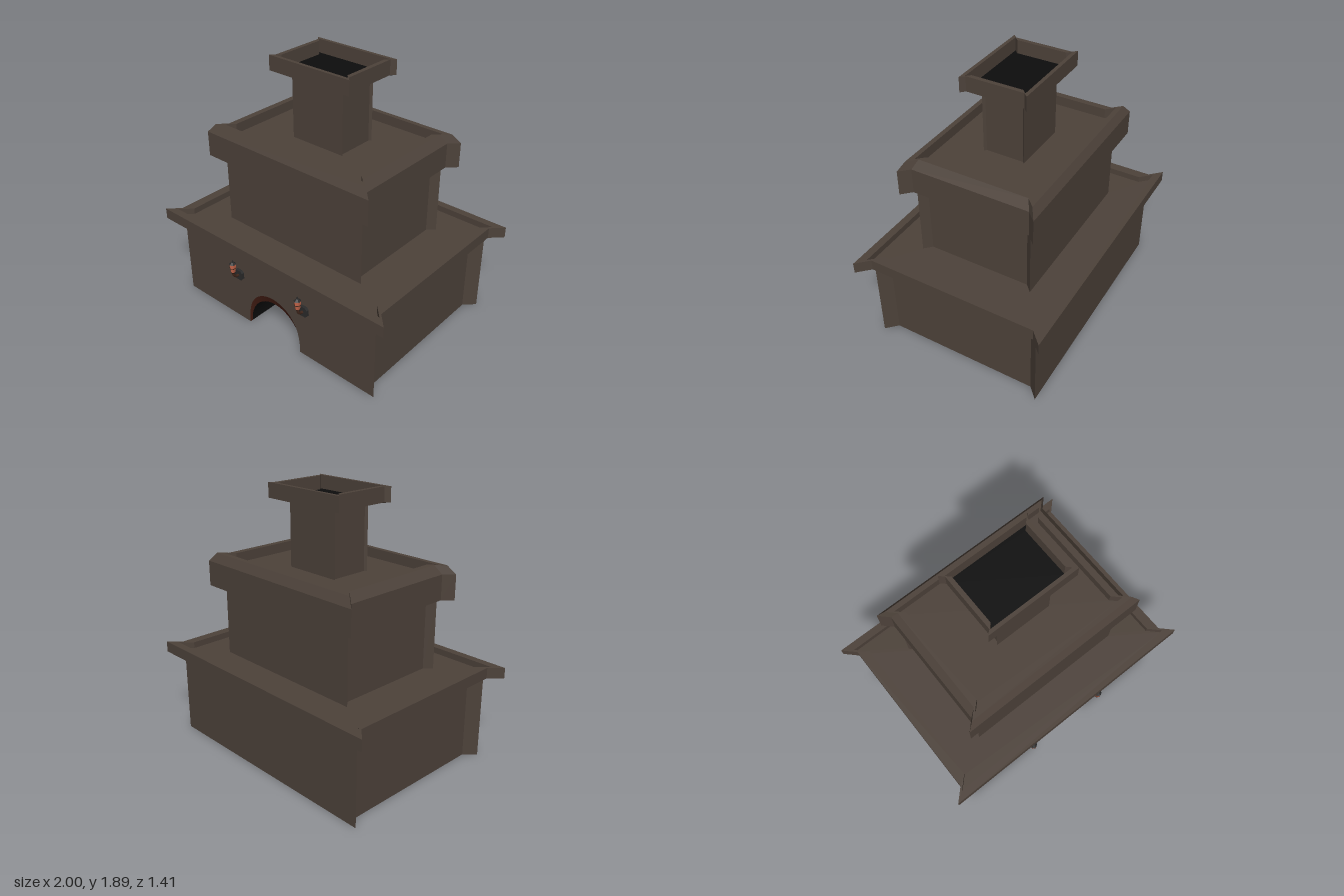
import * as THREE from 'three';

const mat = (color, side = THREE.FrontSide) => {
  const m = new THREE.MeshStandardMaterial({ side, flatShading: true });
  m.color.set(color);
  return m;
};
const stone = mat(0x4d423a);
const soot = mat(0x0d0d0d, THREE.DoubleSide);
const brick = mat(0x451e14, THREE.DoubleSide);
const iron = mat(0x2b2b2b);
const bronze = mat(0x40271c);
const glow = mat(0xc4654a);

function mesh(name, geometry, material, parent, x = 0, y = 0, z = 0) {
  const m = new THREE.Mesh(geometry, material);
  m.name = name;
  m.position.set(x, y, z);
  parent.add(m);
  return m;
}

// Plan of a layer: front and back reach a, mitred corners step the sides in by d
function plan(a, b, d) {
  const s = a - d, t = b - d;
  return [[a, b], [s, t], [s, -t], [a, -b], [-a, -b], [-s, -t], [-s, t], [-a, b]];
}

// Skin a series of plans [a, b, d, y]; optional end caps and one open side
function loft(rings, { bottom = true, top = true, skip = -1 } = {}) {
  const pos = [], index = [], n = 8;
  rings.forEach(([a, b, d, y]) => plan(a, b, d).forEach(([x, z]) => pos.push(x, y, z)));
  for (let r = 0; r < rings.length - 1; r++) {
    for (let i = 0; i < n; i++) {
      if (i === skip) continue;
      const j = (i + 1) % n, p = r * n, q = p + n;
      index.push(p + i, p + j, q + j, p + i, q + j, q + i);
    }
  }
  const cap = (r, up) => {
    const [a, b, d] = rings[r];
    const contour = plan(a, b, d).map(([x, z]) => new THREE.Vector2(x, -z));
    for (const [i, j, k] of THREE.ShapeUtils.triangulateShape(contour, [])) {
      const o = r * n;
      if (up) index.push(o + i, o + j, o + k);
      else index.push(o + i, o + k, o + j);
    }
  };
  if (bottom) cap(0, false);
  if (top) cap(rings.length - 1, true);
  const g = new THREE.BufferGeometry();
  g.setAttribute('position', new THREE.Float32BufferAttribute(pos, 3));
  g.setIndex(index);
  const flat = g.toNonIndexed();
  flat.computeVertexNormals();
  return flat;
}

// Arch from left foot to right foot
function arch(height, power) {
  const pts = [];
  for (let i = 0; i <= 24; i++) {
    const t = Math.PI * (1 - i / 24);
    pts.push([0.245 * Math.cos(t), height * Math.pow(Math.max(0, Math.sin(t)), power)]);
  }
  return pts;
}

// Band between two arches at different depths
function band(p, zp, q, zq) {
  const pos = [], index = [];
  p.forEach(([x, y], i) => {
    pos.push(x, y, zp, q[i][0], q[i][1], zq);
    if (i) index.push(2 * i - 2, 2 * i - 1, 2 * i + 1, 2 * i - 2, 2 * i + 1, 2 * i);
  });
  const g = new THREE.BufferGeometry();
  g.setAttribute('position', new THREE.Float32BufferAttribute(pos, 3));
  g.setIndex(index);
  g.computeVertexNormals();
  return g;
}

const flatShape = pts => new THREE.ShapeGeometry(
  new THREE.Shape(pts.map(([x, y]) => new THREE.Vector2(x, y))));

function lantern(x) {
  const g = new THREE.Group();
  g.name = 'wallLantern';
  g.position.set(x, 0, 0.62);
  // Chamfered wall plate
  const w = 0.038, c = 0.015;
  const plate = new THREE.Shape([
    [w, c - w], [w, w - c], [w - c, w], [c - w, w],
    [-w, w - c], [-w, c - w], [c - w, -w], [w - c, -w],
  ].map(([px, py]) => new THREE.Vector2(px, py)));
  mesh('wallPlate', new THREE.ExtrudeGeometry(plate, { depth: 0.02, bevelEnabled: false }),
    iron, g, 0, 0.39, 0);
  // Curved bracket
  const curve = new THREE.CatmullRomCurve3([
    [0, 0.39, 0.015], [0, 0.392, 0.04], [0, 0.408, 0.058], [0, 0.435, 0.064],
  ].map(p => new THREE.Vector3(...p)));
  mesh('bracket', new THREE.TubeGeometry(curve, 8, 0.01, 6), bronze, g);
  // Lamp stacked along the bracket end: [name, top radius, bottom radius, height, y, material]
  [
    ['lampBase', 0.018, 0.011, 0.012, 0.436, bronze],
    ['lowerGlass', 0.022, 0.016, 0.032, 0.458, glow],
    ['middleRing', 0.024, 0.024, 0.005, 0.4765, bronze],
    ['upperGlass', 0.024, 0.022, 0.028, 0.493, glow],
    ['lampRoof', 0.009, 0.026, 0.016, 0.515, iron],
    ['finial', 0.003, 0.005, 0.018, 0.531, iron],
  ].forEach(([name, rt, rb, h, y, m]) =>
    mesh(name, new THREE.CylinderGeometry(rt, rb, h, 6), m, g, 0, y, 0.064));
  return g;
}

export function createModel() {
  const model = new THREE.Group();
  model.name = 'fireplace';

  // Base with an arched hearth opening
  const outer = arch(0.325, 0.75), inner = arch(0.27, 1);
  const base = new THREE.Group();
  base.name = 'base';
  model.add(base);
  mesh('baseWalls', loft([[0.885, 0.62, 0.075, 0], [0.885, 0.62, 0.075, 0.61]],
    { bottom: false, skip: 7 }), stone, base);
  mesh('baseFront', flatShape([[-0.885, 0], ...outer, [0.885, 0], [0.885, 0.61], [-0.885, 0.61]]),
    stone, base, 0, 0, 0.62);
  const floor = flatShape([...plan(0.885, 0.62, 0.075),
    [-0.245, 0.62], [-0.245, 0.32], [0.245, 0.32], [0.245, 0.62]]);
  mesh('baseUnderside', floor.rotateX(Math.PI / 2), stone, base);
  mesh('archTrim', band(outer, 0.62, inner, 0.6), brick, base);
  mesh('hearthVault', band(inner, 0.6, inner, 0.32), soot, base);
  mesh('hearthBack', flatShape(inner), soot, base, 0, 0, 0.32);

  // Lower ledge with a shallow sunken top
  mesh('lowerLedge', loft([
    [1, 0.7, 0.085, 0.61], [1, 0.7, 0.085, 0.69],
    [0.925, 0.645, 0.08, 0.69], [0.925, 0.645, 0.08, 0.645],
  ]), stone, model);

  // Upper block and its bevelled ledge
  mesh('upperBlock', loft([[0.605, 0.42, 0.05, 0.64], [0.605, 0.42, 0.05, 1.15]]), stone, model);
  mesh('upperLedge', loft([
    [0.7, 0.49, 0.065, 1.15], [0.7, 0.49, 0.065, 1.33], [0.65, 0.455, 0.06, 1.39],
    [0.6, 0.42, 0.055, 1.39], [0.6, 0.42, 0.055, 1.32],
  ]), stone, model);

  // Chimney and its hollow cap
  mesh('chimney', loft([[0.215, 0.15, 0.015, 1.31], [0.215, 0.15, 0.015, 1.78]]), stone, model);
  mesh('chimneyCap', loft([
    [0.215, 0.15, 0.015, 1.775], [0.335, 0.235, 0.03, 1.79], [0.335, 0.235, 0.03, 1.895],
    [0.305, 0.21, 0.03, 1.895], [0.305, 0.21, 0.03, 1.8],
  ], { top: false }), stone, model);
  mesh('flue', loft([[0.305, 0.21, 0.03, 1.798], [0.305, 0.21, 0.03, 1.8]]), soot, model);

  // Lanterns either side of the hearth
  for (const x of [-0.32, 0.295]) model.add(lantern(x));
  return model;
}
